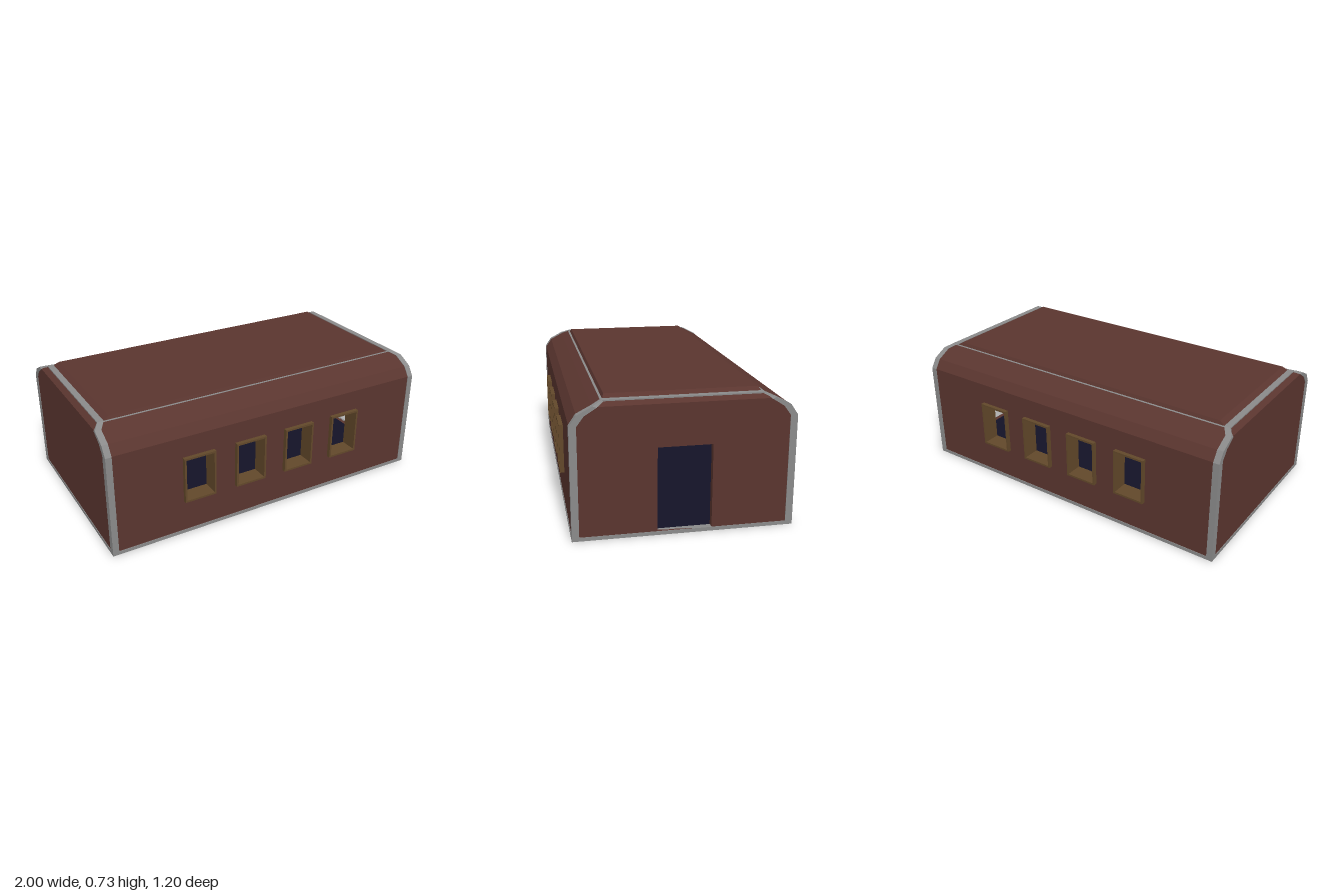
import * as THREE from 'three';

const mat = (color) => new THREE.MeshStandardMaterial({ color, flatShading: true, side: THREE.DoubleSide });

// Joins closed rings of [x, y, z] points into a capped, faceted solid
function loft(rings) {
  const pos = [];
  const tri = (a, b, c) => pos.push(...a, ...b, ...c);
  const n = rings[0].length, last = rings[rings.length - 1];
  for (let s = 0; s < rings.length - 1; s++) {
    for (let i = 0; i < n; i++) {
      const j = (i + 1) % n, a = rings[s], b = rings[s + 1];
      tri(a[i], a[j], b[j]);
      tri(a[i], b[j], b[i]);
    }
  }
  for (let i = 1; i < n - 1; i++) {
    tri(rings[0][0], rings[0][i + 1], rings[0][i]);
    tri(last[0], last[i], last[i + 1]);
  }
  // Turn the faces outward if the enclosed volume comes out negative
  let volume = 0;
  const v = (k) => new THREE.Vector3(pos[k], pos[k + 1], pos[k + 2]);
  for (let k = 0; k < pos.length; k += 9) volume += v(k).dot(v(k + 3).cross(v(k + 6)));
  if (volume < 0) {
    for (let k = 0; k < pos.length; k += 9) {
      for (let c = 0; c < 3; c++) [pos[k + 3 + c], pos[k + 6 + c]] = [pos[k + 6 + c], pos[k + 3 + c]];
    }
  }
  const g = new THREE.BufferGeometry();
  g.setAttribute('position', new THREE.Float32BufferAttribute(pos, 3));
  g.computeVertexNormals();
  return g;
}

const polygon = (pts) => new THREE.Shape(pts.map(([x, y]) => new THREE.Vector2(x, y)));
const rect = (cx, cy, w, h) => polygon([
  [cx - w / 2, cy - h / 2], [cx + w / 2, cy - h / 2], [cx + w / 2, cy + h / 2], [cx - w / 2, cy + h / 2]]);
const extrude = (shape, depth) => new THREE.ExtrudeGeometry(shape, { depth, bevelEnabled: false });

export function createModel() {
  const group = new THREE.Group();
  const brown = mat(0x5a352f), grey = mat(0x8a8a8a), wood = mat(0x62482a), navy = mat(0x131226);
  const add = (name, geometry, material) => {
    const m = new THREE.Mesh(geometry, material);
    m.name = name;
    group.add(m);
    return m;
  };

  const windowX = [-0.48, -0.16, 0.16, 0.48], windowY = 0.344;
  const wall = 0.035;

  // Long walls with window openings, and the faceted shoulders above them
  const sideShape = rect(0, 0.305, 1.95, 0.59);
  windowX.forEach((x) => sideShape.holes.push(rect(x, windowY, 0.18, 0.26)));
  const shoulderShape = polygon([
    [0.575, 0.6], [0.538, 0.654], [0.46, 0.695], [0.415, 0.715],
    [0.4, 0.69], [0.44, 0.668], [0.512, 0.63], [0.54, 0.6]]);
  const frameShape = rect(0, 0, 0.19, 0.272);
  frameShape.holes.push(rect(0, 0, 0.168, 0.25));
  for (const side of [1, -1]) {
    const turn = side > 0 ? 0 : Math.PI;
    add('sideWall', extrude(sideShape, wall).translate(0, 0, 0.54).rotateY(turn), brown);
    add('roofShoulder',
      extrude(shoulderShape, 1.94).translate(0, 0, -0.97).rotateY(-Math.PI / 2 * side), brown);
    add('roofSeam', new THREE.BoxGeometry(1.88, 0.014, 0.014).translate(0, 0.708, side * 0.41), grey);
    for (const x of windowX) {
      add('windowFrame',
        extrude(frameShape, 0.098).translate(x, windowY, 0.5).rotateY(turn), wood);
    }
  }

  // End walls, the doorway being in the left end only
  const half = [[0.56, 0.01], [0.56, 0.6], [0.522, 0.652], [0.45, 0.693]];
  const mirrored = [...half].reverse().map(([z, y]) => [-z, y]);
  // Corner trim stations: end x, outer z, outer y, inner z, inner y
  const stations = [
    [1, 0.578, 0, 0.54, 0], [1, 0.578, 0.6, 0.54, 0.6], [1, 0.54, 0.656, 0.503, 0.65],
    [1, 0.46, 0.698, 0.44, 0.69], [0.967, 0.41, 0.718, 0.395, 0.705]];
  const trimRing = ([x, oz, oy, iz, iy], end, side) => [
    [end * x, oy, side * oz], [end * (x - wall), oy, side * oz],
    [end * (x - wall), iy, side * iz], [end * x, iy, side * iz]];
  for (const end of [1, -1]) {
    const shape = polygon([...half, ...mirrored]);
    if (end > 0) shape.holes.push(rect(0, 0.245, 0.284, 0.45));
    add('endWall', extrude(shape, wall).translate(0, 0, 0.962).rotateY(end * Math.PI / 2), brown);
    add('endWallBevel', loft([1, -1].map((s) => [
      [end * 0.997, 0.692, s * 0.45], [end * 0.963, 0.714, s * 0.405], [end * 0.94, 0.69, s * 0.405]])), brown);
    add('archTrim', loft([
      ...stations.map((s) => trimRing(s, end, 1)),
      ...[...stations].reverse().map((s) => trimRing(s, end, -1))]), grey);
  }

  // Raised roof panel with bevelled edges
  const roofRing = (x, y, z) => [[-x, y, -z], [x, y, -z], [x, y, z], [-x, y, z]];
  add('roofPanel', loft([
    roofRing(0.935, 0.69, 0.406), roofRing(0.935, 0.712, 0.406), roofRing(0.9, 0.733, 0.395)]), brown);

  // Bottom rim and recessed floor
  const rimShape = polygon([[-1, -0.578], [1, -0.578], [1, 0.578], [-1, 0.578]]);
  rimShape.holes.push(rect(0, 0, 1.93, 1.084));
  add('bottomRim', extrude(rimShape, 0.02).rotateX(-Math.PI / 2), grey);
  add('floor', new THREE.BoxGeometry(1.94, 0.01, 1.09).translate(0, 0.015, 0), navy);

  return group;
}
